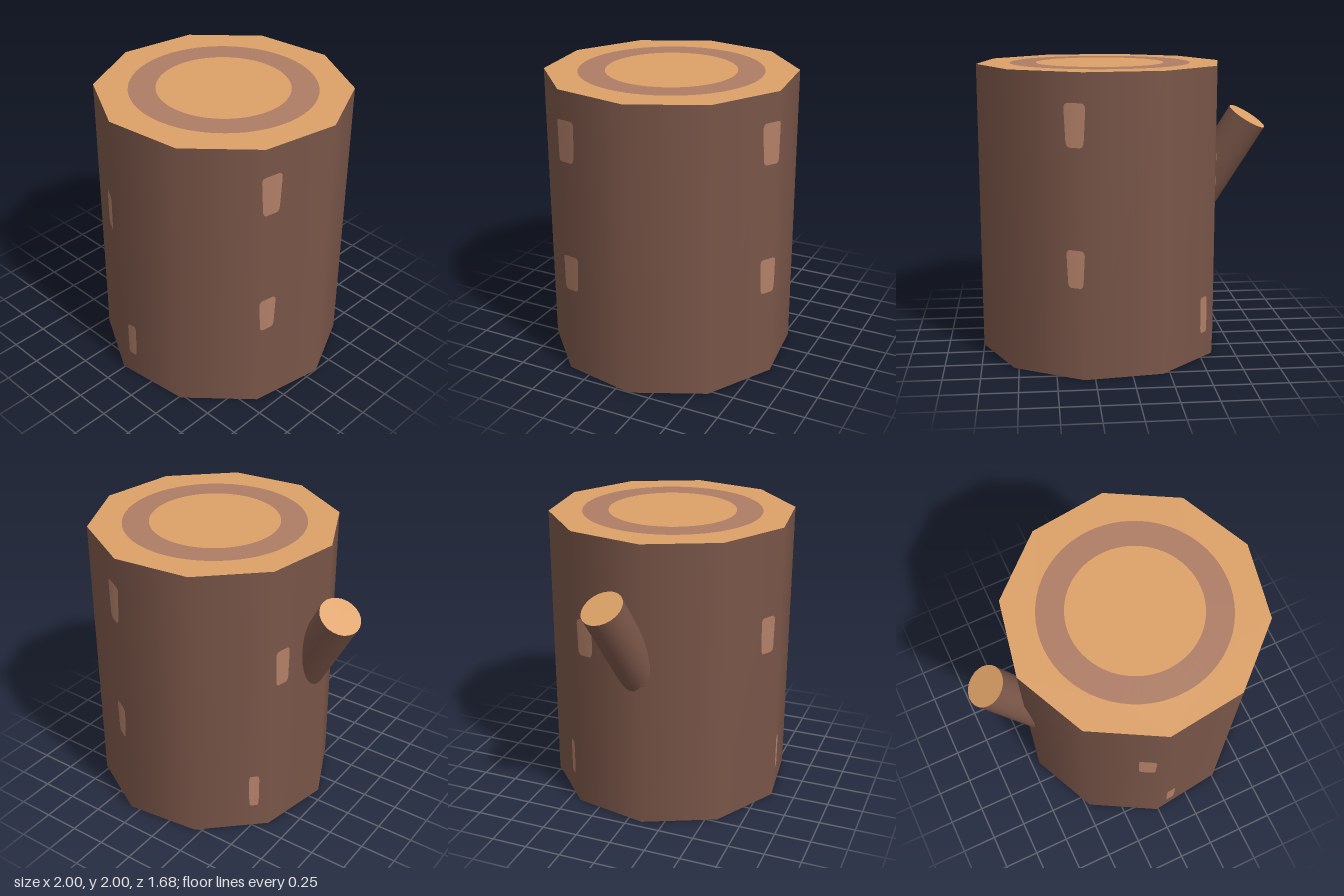
import * as THREE from 'three';

const CX = 0.155, R = 0.853, H = 2, SIDES = 10;
const STEP = (Math.PI * 2) / SIDES;
const START = THREE.MathUtils.degToRad(-6.8); // direction of the first trunk corner, from +x towards +z

const material = (name, color, side = THREE.FrontSide) => {
  const m = new THREE.MeshStandardMaterial({ color, side });
  m.name = name;
  return m;
};

function addMesh(parent, name, geometry, mat) {
  const mesh = new THREE.Mesh(geometry, mat);
  mesh.name = name;
  parent.add(mesh);
  return mesh;
}

// Distance from the trunk axis to its ten-sided wall in a given direction
function wallRadius(angle) {
  const local = THREE.MathUtils.euclideanModulo(angle - START, STEP) - STEP / 2;
  return (R * Math.cos(STEP / 2)) / Math.cos(local);
}

// Thin bark mark that follows the wall: wider at the top, with rounded corners
function markGeometry(angleDeg, y0, y1, topWidth, bottomWidth) {
  const rows = 16, cols = 6, positions = [], normals = [], index = [];
  const centre = THREE.MathUtils.degToRad(angleDeg);
  const corner = 0.035;
  for (let i = 0; i <= rows; i++) {
    const t = (1 - Math.cos((Math.PI * i) / rows)) / 2;
    const y = y0 + (y1 - y0) * t;
    const d = Math.min(1, Math.min(y - y0, y1 - y) / corner);
    const full = bottomWidth + (topWidth - bottomWidth) * t;
    const width = full * (0.62 + 0.38 * Math.sqrt(Math.max(0, 1 - (1 - d) ** 2)));
    for (let j = 0; j <= cols; j++) {
      const a = centre + ((j / cols - 0.5) * width) / R;
      const r = wallRadius(a) + 0.007;
      positions.push(CX + r * Math.cos(a), y, r * Math.sin(a));
      normals.push(Math.cos(a), 0, Math.sin(a));
      if (i < rows && j < cols) {
        const p = i * (cols + 1) + j, q = p + cols + 1;
        index.push(p, q, p + 1, p + 1, q, q + 1);
      }
    }
  }
  const g = new THREE.BufferGeometry();
  g.setAttribute('position', new THREE.Float32BufferAttribute(positions, 3));
  g.setAttribute('normal', new THREE.Float32BufferAttribute(normals, 3));
  g.setIndex(index);
  return g;
}

export function createModel() {
  const bark = material('dark bark', 0x795548);
  const wood = material('cut wood', 0xdca066);
  const ringMat = material('growth ring', 0xae7c64);
  const markMat = material('bark mark', 0xb28068);

  const model = new THREE.Group();
  model.name = 'log';

  // Trunk wall
  const wall = new THREE.CylinderGeometry(R, R, H, SIDES, 1, true, Math.PI / 2 - START);
  addMesh(model, 'trunk', wall, bark).position.set(CX, H / 2, 0);

  // Cut ends: outer wood, growth ring and heart lie in one plane
  const ringOuter = 0.623, ringInner = 0.443;
  for (const end of [1, -1]) {
    const cut = new THREE.Group();
    cut.name = end > 0 ? 'topCut' : 'bottomCut';
    const corners = [];
    for (let i = 0; i < SIDES; i++) {
      const a = START + i * STEP;
      corners.push(new THREE.Vector2(R * Math.cos(a), -end * R * Math.sin(a)));
    }
    const outline = new THREE.Shape(corners);
    outline.holes.push(new THREE.Path().absarc(0, 0, ringOuter, 0, Math.PI * 2, true));
    addMesh(cut, 'outerWood', new THREE.ShapeGeometry(outline, 32), wood);
    addMesh(cut, 'growthRing', new THREE.RingGeometry(ringInner, ringOuter, 64), ringMat);
    addMesh(cut, 'heartWood', new THREE.CircleGeometry(ringInner, 64), wood);
    cut.rotation.x = (-end * Math.PI) / 2;
    cut.position.set(CX, end > 0 ? H : 0, 0);
    model.add(cut);
  }

  // Branch stub: leans up and out to the right, with a cut wood tip
  const tip = new THREE.Vector3(-0.875, 1.62, -0.073);
  const direction = new THREE.Vector3(-0.31, 0.55, -0.12).normalize();
  const length = 0.85;
  const branch = addMesh(model, 'branch',
    new THREE.CylinderGeometry(0.143, 0.143, length, 24), [bark, wood, bark]);
  branch.quaternion.setFromUnitVectors(new THREE.Vector3(0, 1, 0), direction);
  branch.position.copy(tip).addScaledVector(direction, -length / 2);

  // Bark marks: direction in degrees, bottom, top, top width, bottom width
  const marks = [];
  for (const angle of [25.5, -75]) {
    marks.push([angle, 1.53, 1.81, 0.15, 0.12], [angle, 0.62, 0.87, 0.13, 0.105]);
  }
  for (const angle of [108.9, 203]) marks.push([angle, 1.15, 1.41, 0.125, 0.11]);
  for (const angle of [94.2, 216.4]) marks.push([angle, 0.18, 0.435, 0.072, 0.066]);
  for (const m of marks) addMesh(model, 'barkMark', markGeometry(...m), markMat);

  return model;
}
